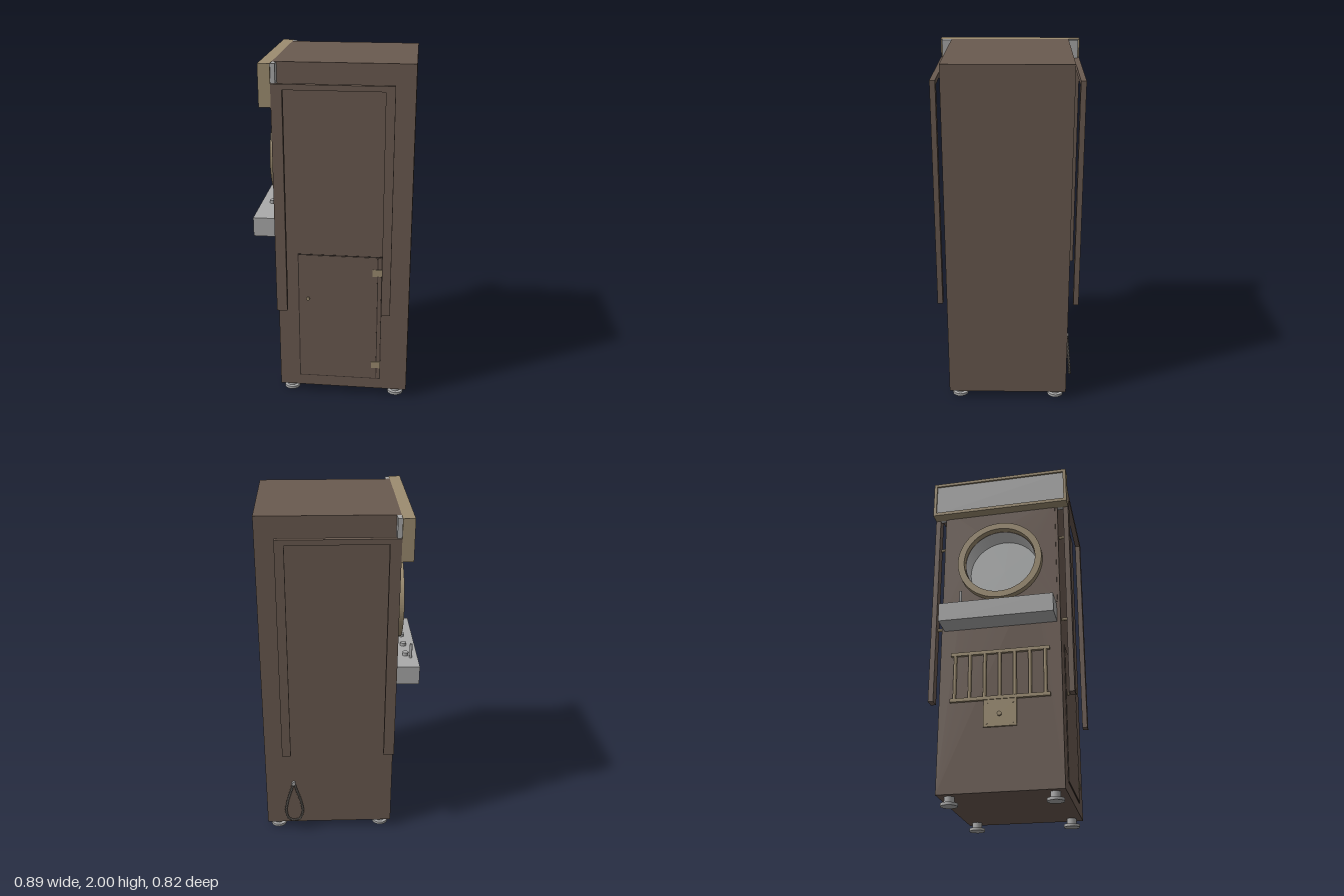
import * as THREE from 'three';

const mat = (name, color, side = THREE.FrontSide) => {
  const m = new THREE.MeshStandardMaterial({ color, side });
  m.name = name;
  return m;
};

export function createModel() {
  const root = new THREE.Group();
  root.name = 'drumCabinet';
  const brown = mat('brown paint', 0x6a5a50);
  const tan = mat('brass', 0x9c8c70);
  const grey = mat('steel', 0xaaaaaa);
  const pale = mat('pale lining', 0xc8c8c8, THREE.DoubleSide);
  const glass = mat('grey glass', 0xb2b4b4);
  const ropeGrey = mat('rope grey', 0x77726c);
  const dark = mat('dark gap', 0x3a312c);

  const add = (name, geo, m, x = 0, y = 0, z = 0) => {
    const mesh = new THREE.Mesh(geo, m);
    mesh.name = name;
    mesh.position.set(x, y, z);
    root.add(mesh);
    return mesh;
  };
  // box from its limits on each axis
  const box = (name, m, x0, x1, y0, y1, z0, z1) =>
    add(name, new THREE.BoxGeometry(x1 - x0, y1 - y0, z1 - z0), m,
      (x0 + x1) / 2, (y0 + y1) / 2, (z0 + z1) / 2);
  const cyl = (name, m, r, h, x, y, z, axis = 'y', seg = 24) => {
    const geo = new THREE.CylinderGeometry(r, r, h, seg);
    if (axis === 'z') geo.rotateX(Math.PI / 2);
    if (axis === 'x') geo.rotateZ(Math.PI / 2);
    return add(name, geo, m, x, y, z);
  };
  const rect = (T, x0, x1, y0, y1) => {
    const s = new T();
    s.moveTo(x0, y0).lineTo(x1, y0).lineTo(x1, y1).lineTo(x0, y1).closePath();
    return s;
  };
  const circle = (T, r, y) => {
    const s = new T();
    s.absarc(0, y, r, 0, Math.PI * 2, false);
    return s;
  };
  // slab drawn in z and y, growing from x towards the -x face
  const slab = (name, m, shape, holes, x, depth) => {
    shape.holes.push(...holes);
    const geo = new THREE.ExtrudeGeometry(shape, { depth, bevelEnabled: false, curveSegments: 48 });
    add(name, geo, m, x).rotation.y = -Math.PI / 2;
  };

  // cabinet with a round opening in its working face
  const portY = 1.425;
  box('cabinetBody', brown, -0.19, 0.445, 0.05, 2, -0.345, 0.345);
  slab('cabinetFace', brown, rect(THREE.Shape, -0.345, 0.345, 0.05, 2),
    [circle(THREE.Path, 0.21, portY)], -0.19, 0.12);
  slab('facePanel', brown, rect(THREE.Shape, -0.33, 0.33, 1.13, 1.83),
    [circle(THREE.Path, 0.21, portY)], -0.31, 0.006);

  // porthole
  slab('portholeRing', tan, circle(THREE.Shape, 0.25, portY),
    [circle(THREE.Path, 0.212, portY)], -0.31, 0.045);
  const lining = new THREE.CylinderGeometry(0.208, 0.208, 0.125, 48, 1, true);
  lining.rotateZ(Math.PI / 2);
  add('portholeLining', lining, pale, -0.255, portY, 0);
  cyl('portholeGlass', glass, 0.208, 0.008, -0.197, portY, 0, 'x', 48);

  // header sign box
  slab('headerFrame', tan, rect(THREE.Shape, -0.41, 0.41, 1.77, 2),
    [rect(THREE.Path, -0.392, 0.392, 1.79, 1.982)], -0.31, 0.065);
  box('headerPanel', grey, -0.365, -0.31, 1.788, 1.984, -0.394, 0.394);

  for (const s of [1, -1]) {
    const sides = (a, b) => (s > 0 ? [a, b] : [-b, -a]);
    box('headerBracket', grey, -0.31, -0.286, 1.77, 1.998, ...sides(0.345, 0.4));

    // side rail: an arch held off the cabinet by pins
    const arch = new THREE.Shape();
    arch.moveTo(-0.31, 0.58).lineTo(-0.25, 0.58).lineTo(-0.25, 1.865).lineTo(0.29, 1.865)
      .lineTo(0.29, 0.58).lineTo(0.34, 0.58).lineTo(0.34, 1.895).lineTo(-0.31, 1.895).closePath();
    add('sideRail', new THREE.ExtrudeGeometry(arch, { depth: 0.03, bevelEnabled: false }),
      brown, 0, 0, s > 0 ? 0.38 : -0.41);
    for (const y of [1.035, 1.58]) cyl('railPin', tan, 0.009, 0.04, -0.27, y, s * 0.363, 'z', 16);

    // feet
    for (const x of [-0.25, 0.38]) {
      cyl('footPad', grey, 0.047, 0.016, x, 0.008, s * 0.285);
      cyl('footStem', grey, 0.028, 0.04, x, 0.033, s * 0.285);
    }
  }

  // control shelf
  box('controlShelf', grey, -0.447, -0.31, 1.005, 1.115, -0.328, 0.325);
  for (const z of [-0.18, -0.055, 0.07]) cyl('button', grey, 0.017, 0.02, -0.38, 1.124, z);
  cyl('lever', grey, 0.008, 0.09, -0.407, 1.157, -0.212, 'y', 16);

  // grille of upright bars
  for (const y of [0.845, 0.57]) box('grilleRail', tan, -0.327, -0.31, y - 0.01, y + 0.01, -0.28, 0.28);
  for (let i = 0; i < 7; i++) {
    cyl('grilleBar', tan, 0.01, 0.26, -0.318, 0.708, -0.255 + i * 0.085, 'y', 12);
  }

  // lock plate under the grille
  box('lockPlate', tan, -0.322, -0.31, 0.405, 0.56, -0.09, 0.095);
  cyl('lock', tan, 0.013, 0.012, -0.326, 0.475, 0, 'x', 16);
  for (const z of [-0.07, 0.075]) {
    for (const y of [0.425, 0.54]) cyl('screw', tan, 0.006, 0.004, -0.323, y, z, 'x', 10);
  }

  // service door
  box('doorGap', dark, -0.194, 0.289, 0.116, 0.914, 0.344, 0.3465);
  box('serviceDoor', brown, -0.188, 0.262, 0.122, 0.908, 0.344, 0.349);
  box('doorJamb', brown, 0.267, 0.284, 0.122, 0.908, 0.344, 0.349);
  for (const y of [0.815, 0.215]) box('doorHinge', tan, 0.235, 0.288, y - 0.021, y + 0.021, 0.348, 0.354);
  cyl('doorKnob', tan, 0.01, 0.012, -0.137, 0.635, 0.353, 'z', 16);

  // twisted rope loop hanging from a stud
  const cord = new THREE.CatmullRomCurve3([
    [0, 0.34], [0.018, 0.29], [0.042, 0.21], [0.05, 0.15], [0.034, 0.098],
    [0, 0.085], [-0.034, 0.098], [-0.05, 0.15], [-0.042, 0.21], [-0.018, 0.29],
  ].map(([x, y]) => new THREE.Vector3(0.28 + x, y, -0.352 - (0.34 - y) * 0.09)), true);
  for (const phase of [0, Math.PI]) {
    const pts = [];
    for (let i = 0; i < 168; i++) {
      const t = i / 168, a = t * Math.PI * 2 * 14 + phase;
      const p = cord.getPointAt(t), d = cord.getTangentAt(t);
      p.x += -d.y * Math.cos(a) * 0.004;
      p.y += d.x * Math.cos(a) * 0.004;
      p.z += Math.sin(a) * 0.004;
      pts.push(p);
    }
    add('ropeStrand', new THREE.TubeGeometry(new THREE.CatmullRomCurve3(pts, true), 336, 0.0042, 6, true), ropeGrey);
  }
  cyl('ropeStud', grey, 0.012, 0.016, 0.28, 0.343, -0.352, 'z', 16);

  return root;
}
